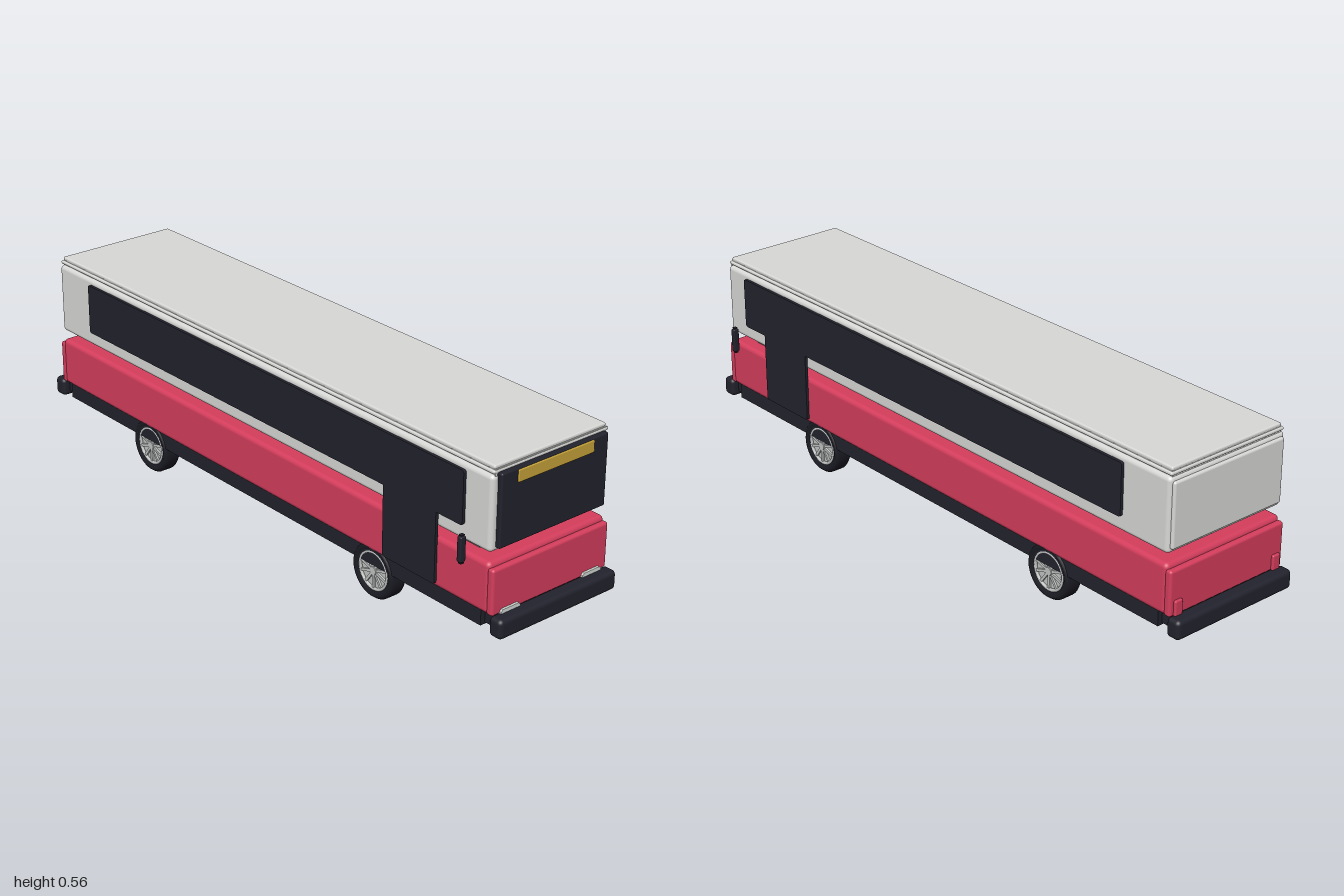
import * as THREE from 'three';
import { RoundedBoxGeometry } from 'three/addons/geometries/RoundedBoxGeometry.js';

const mat = (name, color) => Object.assign(new THREE.MeshStandardMaterial({ color }), { name });

export function createModel() {
  const red = mat('red paint', 0xd43d5c);
  const pale = mat('pale grey paint', 0xd8d8d6);
  const dark = mat('dark glass and trim', 0x22222d);
  const tyreMat = mat('tyre rubber', 0x1b1b24);
  const silver = mat('silver rim', 0xc2c4c4);
  const grey = mat('dashboard grey', 0x68686a);
  const gold = mat('sign gold', 0xc9a43a);
  const lamp = mat('headlight', 0xd4dad6);

  const bus = new THREE.Group();
  bus.name = 'bus';

  function add(name, geo, material, parent = bus) {
    const mesh = new THREE.Mesh(geo, material);
    mesh.name = name;
    parent.add(mesh);
    return mesh;
  }
  // Box given by its limits on each axis, optionally with rounded edges
  function box(name, material, [x0, x1], [y0, y1], [z0, z1], r = 0) {
    const s = [x1 - x0, y1 - y0, z1 - z0];
    const geo = r ? new RoundedBoxGeometry(...s, 3, r) : new THREE.BoxGeometry(...s);
    const m = add(name, geo, material);
    m.position.set((x0 + x1) / 2, (y0 + y1) / 2, (z0 + z1) / 2);
    return m;
  }

  // Chassis and lower body
  box('chassis', dark, [-0.205, 0.205], [0.1, 0.147], [-0.92, 0.92]);
  box('lowerBody', red, [-0.21, 0.21], [0.143, 0.291], [-0.948, 0.948], 0.014);
  box('frontPanel', red, [-0.209, 0.209], [0.143, 0.277], [0.94, 0.963], 0.008);
  box('rearPanel', red, [-0.209, 0.209], [0.143, 0.277], [-0.963, -0.94], 0.008);

  // Dashboard seen in the gap under the windscreen
  box('dashboard', grey, [-0.166, 0.166], [0.285, 0.33], [0.79, 0.87]);

  // Upper body and roof
  box('upperBody', pale, [-0.209, 0.209], [0.319, 0.535], [-0.948, 0.948], 0.013);
  box('upperCore', pale, [-0.197, 0.197], [0.33, 0.55], [-0.942, 0.945]);
  box('rearUpperPanel', pale, [-0.2, 0.2], [0.332, 0.523], [-0.956, -0.94], 0.007);
  box('roof', pale, [-0.198, 0.198], [0.548, 0.56], [-0.943, 0.943], 0.005);
  box('roofGutter', pale, [-0.204, 0.204], [0.538, 0.548], [-0.947, 0.947], 0.004);

  // Windscreen and destination sign
  box('windscreen', dark, [-0.19, 0.19], [0.331, 0.541], [0.94, 0.962], 0.005);
  box('destinationSign', gold, [-0.135, 0.135], [0.502, 0.537], [0.96, 0.966], 0.0025);

  // Bumpers
  for (const s of [1, -1]) {
    const bumper = box(s > 0 ? 'frontBumper' : 'rearBumper', dark,
      [-0.213, 0.213], [0.09, 0.147], [0.955, 1], 0.013);
    bumper.position.z *= s;
    const mount = box('bumperMount', dark, [-0.19, 0.19], [0.105, 0.14], [0.91, 0.965]);
    mount.position.z *= s;
  }

  // Side glass strip with the door hanging below it, as one outline
  const rad = 0.008;
  const glass = new THREE.Shape();
  glass.moveTo(-0.785 + rad, 0.365);
  glass.lineTo(0.555, 0.365);
  glass.lineTo(0.555, 0.155 + rad);
  glass.quadraticCurveTo(0.555, 0.155, 0.555 + rad, 0.155);
  glass.lineTo(0.758 - rad, 0.155);
  glass.quadraticCurveTo(0.758, 0.155, 0.758, 0.155 + rad);
  glass.lineTo(0.758, 0.365);
  glass.lineTo(0.855 - rad, 0.365);
  glass.quadraticCurveTo(0.855, 0.365, 0.855, 0.365 + rad);
  glass.lineTo(0.855, 0.519 - rad);
  glass.quadraticCurveTo(0.855, 0.519, 0.855 - rad, 0.519);
  glass.lineTo(-0.785 + rad, 0.519);
  glass.quadraticCurveTo(-0.785, 0.519, -0.785, 0.519 - rad);
  glass.lineTo(-0.785, 0.365 + rad);
  glass.quadraticCurveTo(-0.785, 0.365, -0.785 + rad, 0.365);
  const glassGeo = new THREE.ExtrudeGeometry(glass, { depth: 0.009, bevelEnabled: false, curveSegments: 4 });
  glassGeo.rotateY(-Math.PI / 2); // outline runs along z, depth towards -x

  // Headlight: low trapezium rising above the bumper
  const lampShape = new THREE.Shape([[-0.034, -0.02], [0.034, -0.02], [0.034, 0.004], [0.028, 0.01], [-0.028, 0.01], [-0.034, 0.004]]
    .map(p => new THREE.Vector2(...p)));
  const lampGeo = new THREE.ExtrudeGeometry(lampShape, { depth: 0.01, bevelEnabled: false });

  for (const s of [1, -1]) {
    const side = s > 0 ? 'left' : 'right';
    add(side + 'WindowsAndDoor', glassGeo, dark).position.x = s > 0 ? 0.218 : -0.209;
    add(side + 'Headlight', lampGeo, lamp).position.set(s * 0.148, 0.148, 0.96);

    const tail = box(side + 'TailLight', red, [0.168, 0.195], [0.145, 0.19], [-0.971, -0.958], 0.004);
    tail.position.x *= s;

    // Side mirror with small end caps
    const mirror = box(side + 'Mirror', dark, [0.233, 0.252], [0.282, 0.355], [0.872, 0.888], 0.004);
    mirror.position.x *= s;
    for (const y of [0.2785, 0.3585]) {
      const cap = box(side + 'MirrorCap', dark, [0.237, 0.248], [y - 0.0015, y + 0.0015], [0.875, 0.885]);
      cap.position.x *= s;
    }
  }

  // Wheels: axis along x, outer face towards +x
  const R = 0.083;
  const tyreProfile = [[0.058, -0.022], [0.07, -0.028], [0.077, -0.026], [R, -0.018], [R, 0.018], [0.077, 0.026], [0.07, 0.028], [0.058, 0.022]]
    .map(p => new THREE.Vector2(...p));
  const tyreGeo = new THREE.LatheGeometry(tyreProfile, 36).rotateZ(-Math.PI / 2);
  const discGeo = new THREE.CylinderGeometry(0.059, 0.059, 0.034, 32).rotateZ(-Math.PI / 2);
  const rimGeo = new THREE.TorusGeometry(0.055, 0.005, 8, 32).rotateY(Math.PI / 2);
  const hubGeo = new THREE.CylinderGeometry(0.012, 0.016, 0.008, 16).rotateZ(-Math.PI / 2);
  const spokeGeo = new THREE.BoxGeometry(0.006, 0.046, 0.008).translate(0.02, 0.03, 0);

  for (const z of [0.505, -0.505]) for (const s of [1, -1]) {
    const wheel = new THREE.Group();
    wheel.name = (z > 0 ? 'front' : 'rear') + (s > 0 ? 'Left' : 'Right') + 'Wheel';
    wheel.position.set(s * 0.181, R, z);
    wheel.rotation.y = s > 0 ? 0 : Math.PI;
    add('tyre', tyreGeo, tyreMat, wheel);
    add('rimDisc', discGeo, silver, wheel);
    add('rimRing', rimGeo, silver, wheel).position.x = 0.02;
    add('hub', hubGeo, silver, wheel).position.x = 0.021;
    for (let i = 0; i < 10; i++) add('spoke', spokeGeo, silver, wheel).rotation.x = i * Math.PI / 5;
    bus.add(wheel);
  }

  return bus;
}
